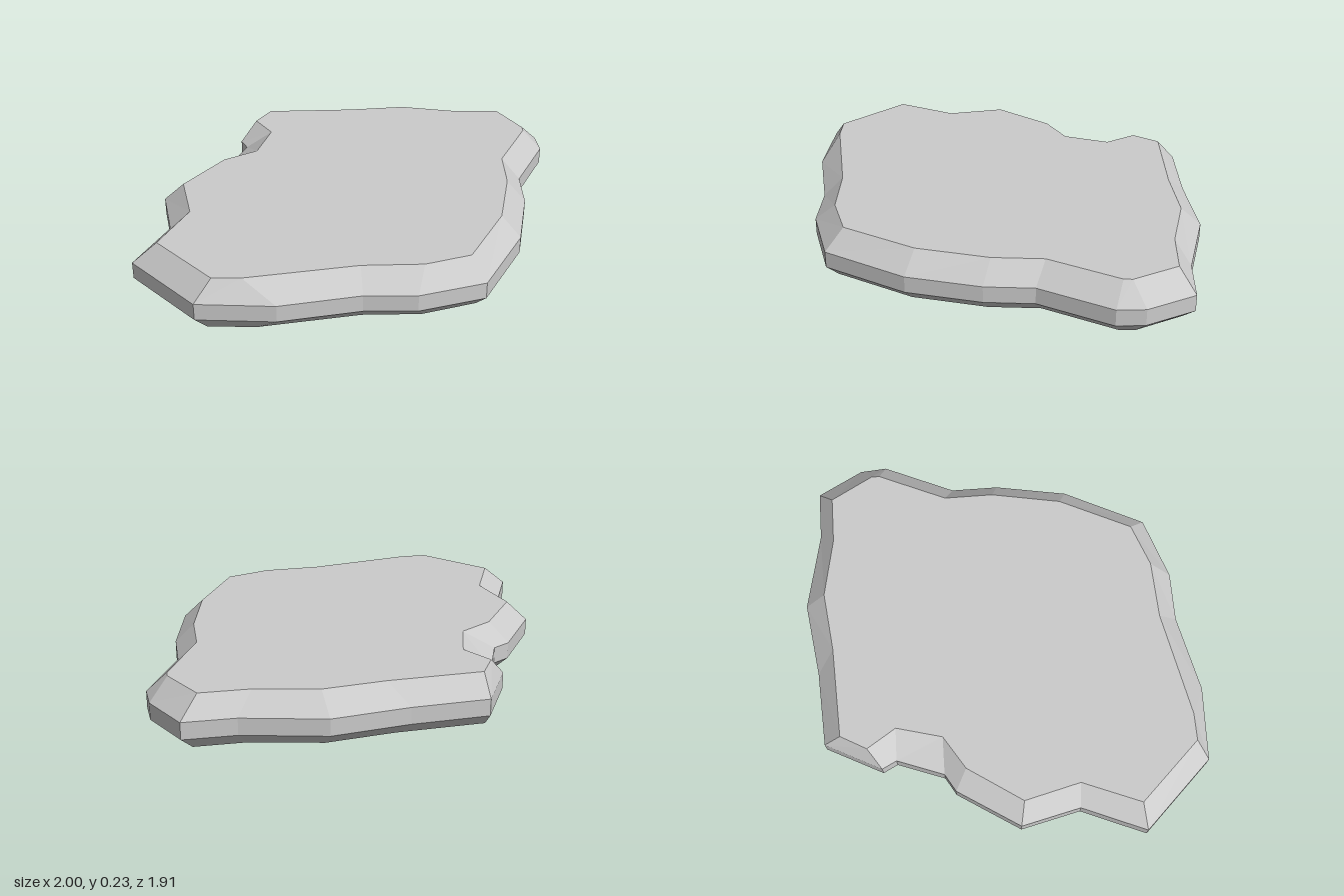
import * as THREE from 'three';

// Outline at the widest level: x, z pairs, clockwise seen from above
const RIM = [
  [-0.47, -0.89], [-0.11, -0.91], [0.25, -0.96], [0.63, -0.88], [0.87, -0.88], [0.99, -0.66],
  [1, -0.53], [0.845, -0.19], [0.845, 0.04], [0.78, 0.39], [0.585, 0.775], [0.28, 0.875],
  [0.04, 0.875], [-0.33, 0.955], [-0.685, 0.94], [-1, 0.61], [-0.87, 0.305], [-0.935, 0.02],
  [-0.745, -0.275], [-0.66, -0.325], [-0.575, -0.55], [-0.61, -0.62],
];
// Matching outline of the flat top
const TOP = [
  [-0.46, -0.805], [-0.02, -0.825], [0.27, -0.86], [0.56, -0.805], [0.79, -0.805], [0.905, -0.6],
  [0.905, -0.56], [0.755, -0.23], [0.755, 0.01], [0.69, 0.35], [0.52, 0.695], [0.31, 0.77],
  [0.03, 0.78], [-0.48, 0.88], [-0.61, 0.88], [-0.885, 0.59], [-0.77, 0.31], [-0.835, 0.04],
  [-0.66, -0.22], [-0.5, -0.32], [-0.44, -0.54], [-0.53, -0.68],
];

// Ring at height y, inset from the rim towards the top outline
const ring = (y, inset) => RIM.map(([x, z], i) =>
  new THREE.Vector3(x + (TOP[i][0] - x) * inset, y, z + (TOP[i][1] - z) * inset));

function slabGeometry(rings) {
  const positions = [];
  const tri = (...points) => points.forEach(p => positions.push(p.x, p.y, p.z));

  // Bands between neighbouring rings
  for (let r = 0; r < rings.length - 1; r++) {
    const low = rings[r], high = rings[r + 1];
    for (let i = 0; i < low.length; i++) {
      const j = (i + 1) % low.length;
      tri(low[j], low[i], high[i]);
      tri(low[j], high[i], high[j]);
    }
  }

  // Flat caps, each triangle turned to face up or down
  const cap = (loop, up) => {
    const flat = loop.map(p => new THREE.Vector2(p.x, -p.z));
    for (const [a, b, c] of THREE.ShapeUtils.triangulateShape(flat, [])) {
      const facesUp = THREE.ShapeUtils.area([flat[a], flat[b], flat[c]]) > 0;
      if (facesUp === up) tri(loop[a], loop[b], loop[c]);
      else tri(loop[a], loop[c], loop[b]);
    }
  };
  cap(rings[0], false);
  cap(rings[rings.length - 1], true);

  const geometry = new THREE.BufferGeometry();
  geometry.setAttribute('position', new THREE.Float32BufferAttribute(positions, 3));
  geometry.computeVertexNormals();
  return geometry;
}

export function createModel() {
  const group = new THREE.Group();
  group.name = 'flatStone';

  // Irregular slab: bevelled underside, upright rim, wider bevel up to the flat top
  const slab = new THREE.Mesh(
    slabGeometry([ring(0, 0.62), ring(0.06, 0), ring(0.14, 0), ring(0.235, 1)]),
    new THREE.MeshStandardMaterial({ color: 0xcccccc, flatShading: true }),
  );
  slab.name = 'stoneSlab';
  group.add(slab);
  return group;
}
